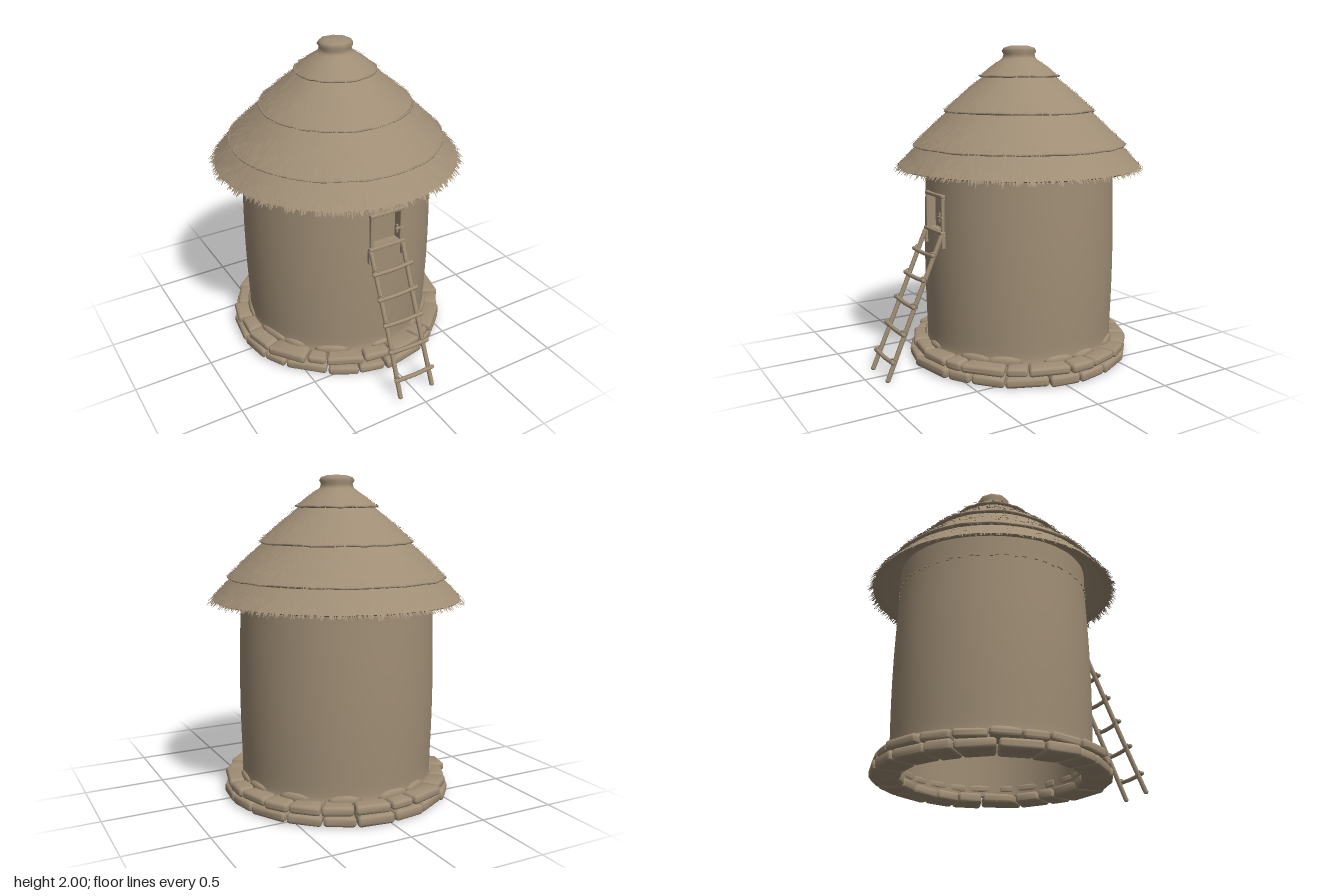
import * as THREE from 'three';
import { toCreasedNormals } from 'three/addons/utils/BufferGeometryUtils.js';
import { RoundedBoxGeometry } from 'three/addons/geometries/RoundedBoxGeometry.js';

const clay = new THREE.MeshStandardMaterial({ color: 0x9f8d75, side: THREE.DoubleSide });
clay.name = 'dry clay';

let seed = 7;
const rnd = () => (seed = (seed * 16807) % 2147483647) / 2147483647;
const vary = (a) => (rnd() * 2 - 1) * a;

function add(parent, name, geometry) {
  const mesh = new THREE.Mesh(geometry, clay);
  mesh.name = name;
  parent.add(mesh);
  return mesh;
}

// surface of revolution, profile listed as [radius, y]
const lathe = (pts, seg = 64, start = 0, len = Math.PI * 2) =>
  new THREE.LatheGeometry(pts.map((p) => new THREE.Vector2(p[0], p[1])), seg, start, len);

// round pole following a few points
const pole = (pts, r) =>
  new THREE.TubeGeometry(new THREE.CatmullRomCurve3(pts.map((p) => new THREE.Vector3(...p))), 8, r, 8);

function box(parent, name, w, h, d, x, y, z) {
  const m = add(parent, name, new RoundedBoxGeometry(w, h, d, 2, Math.min(w, h, d) * 0.3));
  m.position.set(x, y, z);
  return m;
}

// thatch tiers from ridge to eave: [top radius, top y, bottom radius, bottom y, straw count]
const tiers = [
  [0.11, 1.915, 0.25, 1.81, 60],
  [0.22, 1.815, 0.475, 1.595, 900],
  [0.44, 1.605, 0.675, 1.378, 1500],
  [0.64, 1.39, 0.775, 1.243, 1100],
];

// flat tapering straws lying down the slope of each tier
function strawGeometry() {
  const pos = [], idx = [];
  const straw = (phi, r, y, dr, dy, len, w, twist, lift) => {
    const out = new THREE.Vector3(Math.sin(phi), 0, Math.cos(phi));
    const side = new THREE.Vector3(Math.cos(phi), 0, -Math.sin(phi));
    const along = out.clone().multiplyScalar(dr).add(new THREE.Vector3(0, dy, 0)).addScaledVector(side, twist).normalize();
    const normal = out.clone().multiplyScalar(-dy).add(new THREE.Vector3(0, dr, 0));
    const a = out.clone().multiplyScalar(r).addScaledVector(normal, 0.004);
    a.y += y;
    const b = a.clone().addScaledVector(along, len).addScaledVector(normal, lift);
    const n = pos.length / 3;
    for (const [p, k] of [[a, -w], [a, w], [b, w * 0.4], [b, -w * 0.4]]) {
      const v = p.clone().addScaledVector(side, k);
      pos.push(v.x, v.y, v.z);
    }
    idx.push(n, n + 3, n + 2, n, n + 2, n + 1);
  };
  tiers.forEach(([r0, y0, r1, y1, count], i) => {
    const L = Math.hypot(r1 - r0, y1 - y0), dr = (r1 - r0) / L, dy = (y1 - y0) / L;
    for (let k = 0; k < count; k++) {
      const t = Math.sqrt(rnd()) * 0.85;
      straw(rnd() * 6.283, r0 + (r1 - r0) * t, y0 + (y1 - y0) * t, dr, dy,
        0.035 + rnd() * 0.05, 0.003 + rnd() * 0.005, vary(0.35), rnd() * 0.014);
    }
    // ragged fringe along the lip
    const fringe = i === 3 ? 700 : i * 130;
    for (let k = 0; k < fringe; k++) {
      const s = 0.03 + rnd() * 0.03;
      straw(rnd() * 6.283, r1 - dr * s, y1 - dy * s, dr, dy,
        s + rnd() * (i === 3 ? 0.035 : 0.02), 0.004 + rnd() * 0.005, vary(0.3), vary(0.012));
    }
  });
  const g = new THREE.BufferGeometry();
  g.setAttribute('position', new THREE.Float32BufferAttribute(pos, 3));
  g.setIndex(idx);
  g.computeVertexNormals();
  return g;
}

function makeRoof() {
  const roof = new THREE.Group();
  roof.name = 'roof';
  tiers.forEach(([r0, y0, r1, y1], i) => {
    const rm = (r0 + r1) / 2 + 0.004, ym = (y0 + y1) / 2 + 0.004;
    add(roof, 'thatchTier', lathe([[r1, y1], [rm, ym], [r0, y0]]));
    add(roof, 'tierLip', lathe([[r1 - 0.05, y1 + 0.012], [r1 - 0.012, y1 - 0.008], [r1, y1]]));
    // binding rope, slightly wavy
    if (i < 3) {
      const pts = [];
      for (let k = 0; k < 48; k++) {
        const a = (k / 48) * Math.PI * 2, r = r1 + vary(0.004);
        pts.push(new THREE.Vector3(Math.sin(a) * r, y1 + vary(0.003), Math.cos(a) * r));
      }
      add(roof, 'bindingRope', new THREE.TubeGeometry(new THREE.CatmullRomCurve3(pts, true), 144, 0.007, 6, true));
    }
  });
  add(roof, 'roofUnderside', lathe([[0.1, 1.85], [0.44, 1.53], [0.62, 1.33], [0.765, 1.235]]));
  add(roof, 'ridgeCap', lathe([[0.15, 1.888], [0.108, 1.92], [0.1, 1.945], [0.112, 1.965], [0.1, 1.985], [0.06, 1.997], [0, 2]], 9));
  add(roof, 'straw', strawGeometry());
  return roof;
}

// gently bulging wall radius
const wallRadius = (y) => 0.602 + 0.013 * Math.sin(Math.PI * Math.min(1, Math.max(0, (y - 0.1) / 1.1)))
  + 0.03 * Math.exp(-Math.max(0, y - 0.08) / 0.025);

function wallProfile(y0, y1, n) {
  return Array.from({ length: n + 1 }, (_, i) => {
    const y = y0 + ((y1 - y0) * i) / n;
    return [wallRadius(y), y];
  });
}

function makeWall() {
  const wall = new THREE.Group();
  wall.name = 'wall';
  const half = 0.158, low = 0.885, high = 1.085;
  add(wall, 'outerWall', lathe(wallProfile(0.08, 1.36, 36), 72, half, Math.PI * 2 - half * 2));
  add(wall, 'wallBelowHatch', lathe(wallProfile(0.08, low, 24), 6, -half, half * 2));
  add(wall, 'wallAboveHatch', lathe(wallProfile(high, 1.36, 8), 6, -half, half * 2));
  add(wall, 'innerWall', lathe([[0.545, 1.36], [0.545, 0.7], [0.545, 0.05]]));
  // plaster patches at the foot
  for (let i = 0; i < 14; i++) {
    const a = (i / 14) * 6.283 + vary(0.15);
    const m = add(wall, 'plasterPatch', new THREE.SphereGeometry(1, 10, 6));
    m.scale.set(0.07 + rnd() * 0.05, 0.02 + rnd() * 0.02, 0.025);
    m.position.set(Math.sin(a) * 0.6, 0.125, Math.cos(a) * 0.6);
    m.rotation.y = a;
  }
  // short straw ends poking out under the eave
  for (let i = 0; i < 70; i++) {
    const a = (i / 70) * 6.283 + vary(0.04);
    const m = add(wall, 'strawEnd', new THREE.BoxGeometry(0.012 + rnd() * 0.015, 0.006, 0.012));
    m.position.set(Math.sin(a) * 0.604, 1.203 + vary(0.006), Math.cos(a) * 0.604);
    m.rotation.y = a;
  }
  return wall;
}

function makeHatch() {
  const hatch = new THREE.Group();
  hatch.name = 'hatch';
  box(hatch, 'hatchDoor', 0.2, 0.21, 0.008, 0, 0.985, 0.552);
  for (const s of [-1, 1]) {
    box(hatch, 'hatchJamb', 0.02, 0.235, 0.07, s * 0.105, 0.985, 0.582);
    box(hatch, 'sillBracket', 0.018, 0.09, 0.03, s * 0.118, 0.82, 0.607);
  }
  box(hatch, 'hatchLintel', 0.235, 0.022, 0.072, 0, 1.096, 0.584);
  box(hatch, 'hatchSill', 0.25, 0.022, 0.085, 0, 0.872, 0.585);
  box(hatch, 'latchBar', 0.06, 0.012, 0.014, 0.09, 0.968, 0.615);
  box(hatch, 'latchPost', 0.014, 0.06, 0.014, 0.075, 0.965, 0.61);
  return hatch;
}

// ring of uneven stones, each widening outwards to fit its neighbours
function makeStones() {
  const stones = new THREE.Group();
  stones.name = 'stoneFooting';
  const courses = [[0.035, 0.062, 0.53, 0.712, 20], [0.096, 0.056, 0.54, 0.702, 22]];
  for (const [y, h, rIn, rOut, n] of courses) {
    const cuts = Array.from({ length: n }, (_, i) => ((i + vary(0.22)) / n) * Math.PI * 2);
    cuts.push(cuts[0] + Math.PI * 2);
    for (let i = 0; i < n; i++) {
      const a = (cuts[i] + cuts[i + 1]) / 2, span = cuts[i + 1] - cuts[i];
      const depth = rOut - rIn + vary(0.012), rMid = rIn + depth / 2;
      const w = span * rMid - 0.006, hh = h + vary(0.005);
      const g = new RoundedBoxGeometry(w, hh, depth, 3, 0.02);
      const p = g.attributes.position, skew = vary(0.05), tilt = vary(0.04);
      for (let k = 0; k < p.count; k++) {
        const x = p.getX(k), z = p.getZ(k);
        p.setX(k, x * (1 + z / rMid) + z * skew);
        p.setY(k, p.getY(k) + x * tilt);
        p.setZ(k, z + x * skew);
      }
      const m = add(stones, 'footingStone', toCreasedNormals(g, 0.7));
      m.position.set(Math.sin(a) * rMid, y + vary(0.002), Math.cos(a) * rMid);
      m.rotation.y = a;
    }
  }
  return stones;
}

function makeLadder() {
  const ladder = new THREE.Group();
  ladder.name = 'ladder';
  const zAt = (y) => 0.9 - ((y - 0.01) * 0.37) / 0.84;
  for (const s of [-1, 1]) {
    add(ladder, 'ladderRail', pole([[s * 0.118, 0.01, zAt(0.01)], [s * 0.112, 0.4, zAt(0.4)], [s * 0.114, 0.85, zAt(0.85)]], 0.015));
    for (const y of [0.01, 0.85]) {
      const cap = add(ladder, 'railEnd', new THREE.SphereGeometry(0.015, 8, 6));
      cap.position.set(s * (y < 0.5 ? 0.118 : 0.114), y + (y < 0.5 ? 0.005 : 0), zAt(y));
    }
  }
  for (const y of [0.125, 0.29, 0.447, 0.6, 0.745]) {
    const z = zAt(y) + 0.022, d = vary(0.006);
    add(ladder, 'ladderRung', pole([[-0.135, y + d, z], [0, y - 0.006, z], [0.135, y - d, z]], 0.013));
    for (const s of [-1, 1]) {
      const tie = add(ladder, 'rungLashing', new THREE.TorusGeometry(0.02, 0.005, 6, 12));
      tie.position.set(s * 0.114, y, zAt(y) + 0.01);
      tie.rotation.set(0.4, s * 0.8, 0);
      const end = add(ladder, 'rungEnd', new THREE.SphereGeometry(0.013, 8, 6));
      end.position.set(s * 0.135, y - s * d, z);
    }
  }
  return ladder;
}

export function createModel() {
  const model = new THREE.Group();
  model.name = 'thatchedGranary';
  const hut = new THREE.Group();
  hut.name = 'hut';
  hut.add(makeStones(), makeWall(), makeHatch(), makeRoof());
  hut.position.z = -0.093;
  model.add(hut, makeLadder());
  return model;
}
